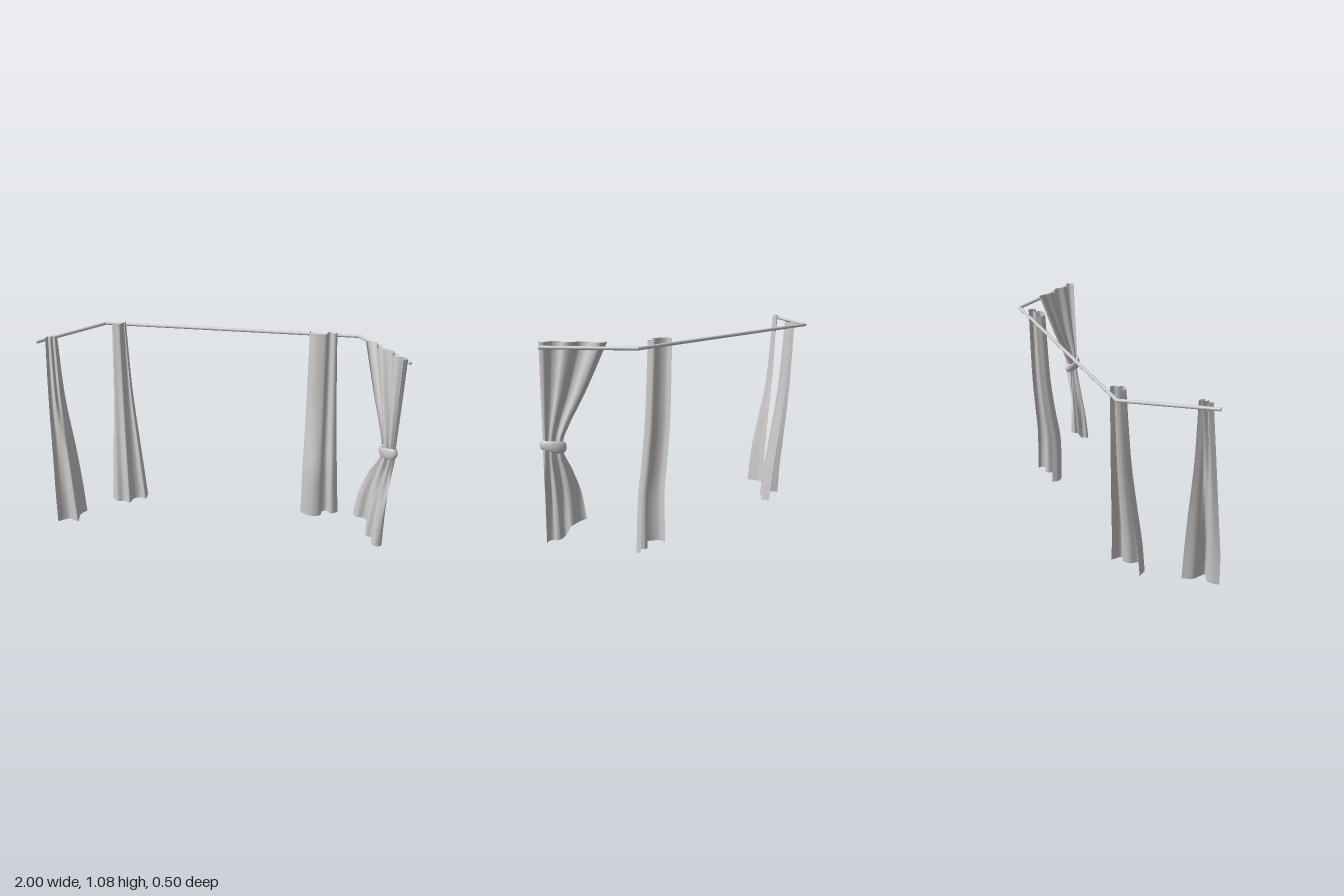
import * as THREE from 'three';

const cloth = new THREE.MeshStandardMaterial({ color: 0xcccccc, side: THREE.DoubleSide });
const metal = new THREE.MeshStandardMaterial({ color: 0xcccccc });

// A horizontal section of cloth from [x, z, lift] points at height y
const section = (y, pts) => pts.map(([x, z, lift = 0]) => new THREE.Vector3(x, y + lift, z));

// A section between a and b at height y, blended separately in x and z
const blend = (a, b, y, kx, kz = kx) => a.map((p, i) => [
  THREE.MathUtils.lerp(p[0], b[i][0], kx),
  THREE.MathUtils.lerp(p[1], b[i][1], kz),
  THREE.MathUtils.lerp(p[2] || 0, b[i][2] || 0, kx),
]).map(([x, z, lift]) => new THREE.Vector3(x, y + lift, z));

// Smooth cloth sheet lofted through the sections, top to bottom
function drape(name, sections, cols = 72, rows = 40) {
  const columns = sections[0].map((_, i) =>
    new THREE.CatmullRomCurve3(sections.map((s) => s[i]), false, 'centripetal').getPoints(rows));
  const pos = [], index = [];
  for (let r = 0; r <= rows; r++) {
    const fold = new THREE.CatmullRomCurve3(columns.map((c) => c[r]), false, 'centripetal');
    for (const p of fold.getPoints(cols)) pos.push(p.x, p.y, p.z);
  }
  for (let r = 0; r < rows; r++) {
    for (let c = 0; c < cols; c++) {
      const a = r * (cols + 1) + c, b = a + cols + 1;
      index.push(a, b, a + 1, b, b + 1, a + 1);
    }
  }
  const geo = new THREE.BufferGeometry();
  geo.setAttribute('position', new THREE.Float32BufferAttribute(pos, 3));
  geo.setIndex(index);
  geo.computeVertexNormals();
  const mesh = new THREE.Mesh(geo, cloth);
  mesh.name = name;
  return mesh;
}

// Three-sided bay rod with rounded joints and ends
function makeRod() {
  const rod = new THREE.Group();
  rod.name = 'curtainRod';
  const r = 0.009;
  const pts = [[-0.99, 0.14], [-0.72, -0.25], [0.72, -0.25], [0.99, 0.14]]
    .map(([x, z]) => new THREE.Vector3(x, 1.06, z));
  pts.forEach((p, i) => {
    const joint = new THREE.Mesh(new THREE.SphereGeometry(i % 3 ? r : r * 1.1, 16, 12), metal);
    joint.name = i % 3 ? 'rodCorner' : 'rodEnd';
    joint.position.copy(p);
    rod.add(joint);
    if (!i) return;
    const dir = p.clone().sub(pts[i - 1]);
    const bar = new THREE.Mesh(new THREE.CylinderGeometry(r, r, dir.length(), 16), metal);
    bar.name = 'rodBar';
    bar.position.copy(p).add(pts[i - 1]).multiplyScalar(0.5);
    bar.quaternion.setFromUnitVectors(new THREE.Vector3(0, 1, 0), dir.normalize());
    rod.add(bar);
  });
  return rod;
}

// Free-hanging curtain: keys are [y, x blend, z blend] from top to hem
const hanging = (name, top, hem, keys) =>
  drape(name, keys.map(([y, kx, kz]) => blend(top, hem, y, kx, kz)));

// Curtain gathered by a tieback, laid out along the side rod
function makeTiedCurtain() {
  const group = new THREE.Group();
  group.name = 'tiedCurtain';
  const place = (pts) => pts.map(([u, v, lift]) =>
    [0.915 + 0.61 * u + 0.79 * v, 0.152 + 0.79 * u - 0.61 * v, lift || 0]);
  const top = place([[-0.265, 0.01], [-0.285, 0.035], [-0.26, 0.065], [-0.22, 0.055], [-0.19, 0.025],
    [-0.15, 0.02], [-0.12, 0.05], [-0.08, 0.055], [-0.05, 0.02], [-0.01, 0.02], [0.02, 0.05],
    [0.045, 0.045], [0.05, 0.012]]);
  const waist = place([[-0.03, -0.018], [-0.05, -0.008], [-0.05, 0.012], [-0.035, 0.02], [-0.022, -0.01],
    [-0.01, -0.015], [0, 0.02], [0.01, 0.02], [0.018, -0.012], [0.028, -0.012], [0.035, 0.018],
    [0.05, 0.008], [0.05, -0.008]]);
  const hem = place([[-0.15, -0.075, 0.125], [-0.14, -0.1, 0.12], [-0.11, -0.095, 0.11],
    [-0.09, -0.065, 0.105], [-0.07, -0.055, 0.095], [-0.05, -0.075, 0.06], [-0.03, -0.085, 0.03],
    [-0.01, -0.065, 0.02], [0.01, -0.065, 0.015], [0.025, -0.09, 0.01], [0.05, -0.085, 0.005],
    [0.06, -0.06], [0.055, -0.04]]);
  group.add(drape('tiedCloth', [
    section(1.085, top), blend(top, waist, 0.83, 0.5), blend(top, waist, 0.67, 0.86),
    section(0.59, waist), section(0.53, waist),
    blend(waist, hem, 0.38, 0.4), blend(waist, hem, 0.2, 0.8), section(0.03, hem),
  ], 96, 56));

  // Tieback: flattened ring with a soft, uneven band
  const ring = new THREE.TorusGeometry(1, 0.3, 16, 48);
  ring.rotateX(Math.PI / 2);
  const p = ring.attributes.position;
  for (let i = 0; i < p.count; i++) {
    const a = Math.atan2(p.getZ(i), p.getX(i));
    p.setY(i, p.getY(i) * (0.092 + 0.012 * Math.sin(2 * a)) + 0.006 * Math.cos(a));
    p.setX(i, p.getX(i) * 0.052);
    p.setZ(i, p.getZ(i) * 0.027);
  }
  ring.computeVertexNormals();
  const tie = new THREE.Mesh(ring, cloth);
  tie.name = 'tieback';
  tie.position.set(0.915, 0.562, 0.152);
  tie.rotation.y = -0.913;
  group.add(tie);
  return group;
}

export function createModel() {
  const model = new THREE.Group();
  model.name = 'bayWindowCurtains';
  model.add(makeRod());

  model.add(hanging('rightFrontCurtain',
    [[-0.95, 0.13], [-0.945, 0.1], [-0.925, 0.12], [-0.925, 0.085], [-0.905, 0.11], [-0.9, 0.095], [-0.9, 0.08]],
    [[-0.915, 0.245], [-0.89, 0.215], [-0.86, 0.2], [-0.805, 0.22], [-0.81, 0.18], [-0.815, 0.14], [-0.79, 0.09]],
    [[1.08, 0, 0], [0.73, 0.2, 0.35], [0.41, 0.62, 0.7], [0.2, 0.85, 0.92], [0.015, 1, 1]]));

  model.add(hanging('rightBackCurtain',
    [[-0.67, -0.21], [-0.665, -0.18], [-0.645, -0.175], [-0.62, -0.175], [-0.615, -0.2], [-0.605, -0.215],
      [-0.6, -0.205], [-0.6, -0.235]],
    [[-0.685, -0.1], [-0.65, -0.055], [-0.61, -0.065], [-0.57, -0.05], [-0.56, -0.1], [-0.525, -0.125],
      [-0.49, -0.115], [-0.49, -0.175]],
    [[1.08, 0, 0], [0.68, 0.25, 0.28], [0.4, 0.56, 0.6], [0.2, 0.8, 0.85], [0.015, 1, 1]]));

  model.add(hanging('leftBackCurtain',
    [[0.455, -0.235], [0.452, -0.2], [0.48, -0.175], [0.515, -0.172], [0.545, -0.18], [0.55, -0.21],
      [0.565, -0.22], [0.585, -0.195], [0.6, -0.205], [0.595, -0.235]],
    [[0.445, -0.17], [0.443, -0.13], [0.475, -0.1], [0.52, -0.088], [0.558, -0.105], [0.568, -0.155],
      [0.592, -0.165], [0.62, -0.137], [0.655, -0.165], [0.655, -0.19]],
    [[1.085, 0, 0], [0.66, 0.3, 0.3], [0.45, 0.5, 0.65], [0.28, 0.7, 0.98], [0.005, 1, 1]]));

  model.add(makeTiedCurtain());
  return model;
}
